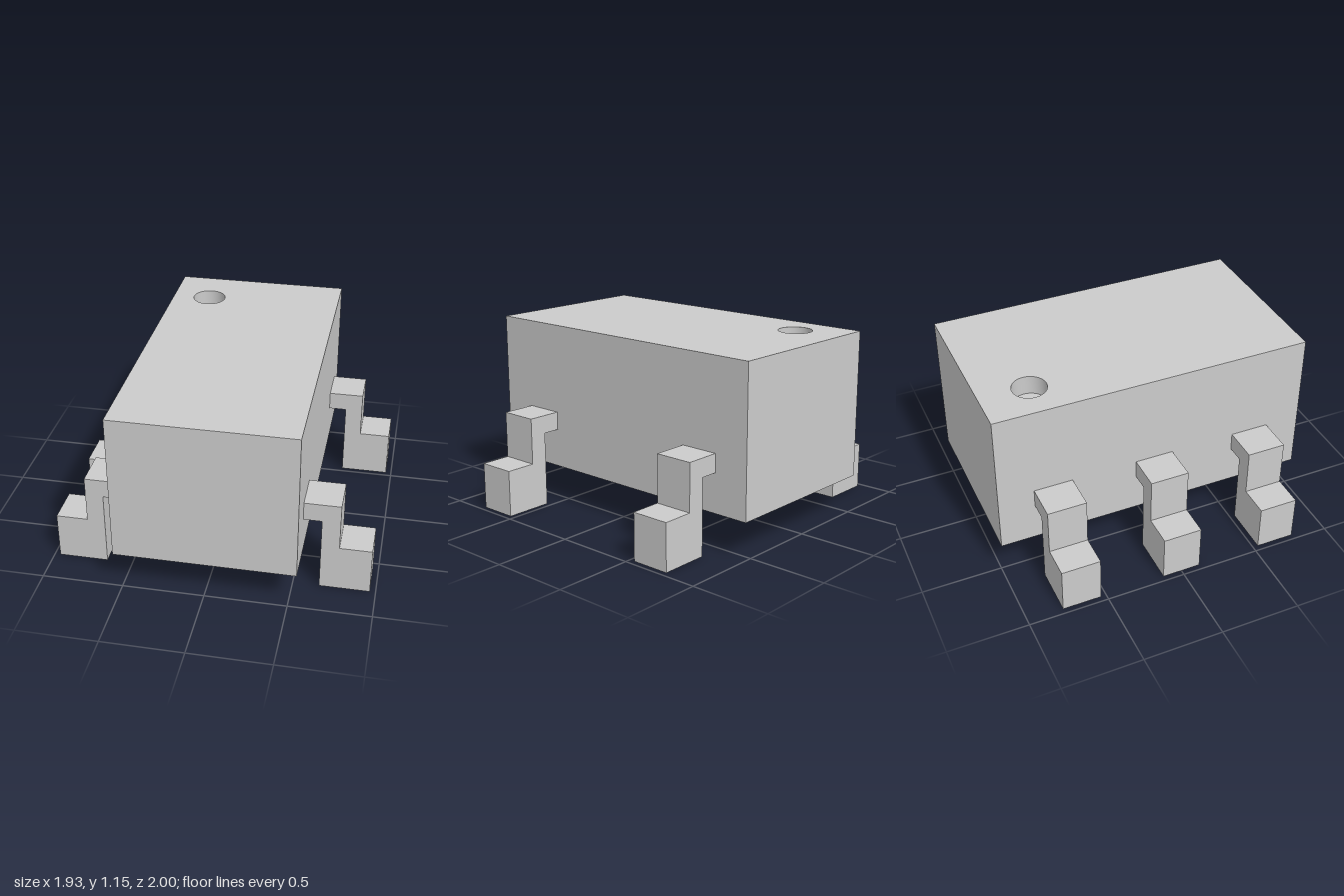
import * as THREE from 'three';
import { toCreasedNormals } from 'three/addons/utils/BufferGeometryUtils.js';

const material = new THREE.MeshStandardMaterial({ color: 0xcccccc });

const BODY = { width: 1.1, height: 0.925, length: 2, bottom: 0.23 };
const TOP = BODY.bottom + BODY.height;
const MARK = { x: -0.31, z: -0.69, radius: 0.105, depth: 0.12 };
const LEAD_WIDTH = 0.243;

function addMesh(parent, name, geometry) {
  const mesh = new THREE.Mesh(geometry, material);
  mesh.name = name;
  parent.add(mesh);
  return mesh;
}

function createBody() {
  const body = new THREE.Group();
  body.name = 'body';

  // Box without its top face
  const box = new THREE.BoxGeometry(BODY.width, BODY.height, BODY.length);
  const index = Array.from(box.index.array);
  index.splice(12, 6);
  box.setIndex(index);
  box.clearGroups();
  addMesh(body, 'bodySides', box).position.y = BODY.bottom + BODY.height / 2;

  // Top face with the round marker opening
  const w = BODY.width / 2, l = BODY.length / 2;
  const outline = new THREE.Shape([
    new THREE.Vector2(-w, -l), new THREE.Vector2(w, -l),
    new THREE.Vector2(w, l), new THREE.Vector2(-w, l),
  ]);
  outline.holes.push(new THREE.Path().absarc(MARK.x, -MARK.z, MARK.radius, 0, Math.PI * 2, true));
  const top = new THREE.ShapeGeometry(outline, 24).rotateX(-Math.PI / 2);
  addMesh(body, 'bodyTop', top).position.y = TOP;

  // Sunken marker: inward-facing wall, then floor
  const recess = new THREE.LatheGeometry([
    new THREE.Vector2(MARK.radius, 0),
    new THREE.Vector2(MARK.radius, -MARK.depth),
    new THREE.Vector2(0, -MARK.depth),
  ], 48);
  addMesh(body, 'markerRecess', toCreasedNormals(recess, Math.PI / 4)).position.set(MARK.x, TOP, MARK.z);
  return body;
}

// Stepped lead: shoulder, drop and foot
function createLeadGeometry() {
  const profile = [
    [0.55, 0.475], [0.66, 0.475], [0.66, 0], [0.965, 0],
    [0.965, 0.295], [0.77, 0.295], [0.77, 0.59], [0.55, 0.59],
  ].map(([x, y]) => new THREE.Vector2(x, y));
  const geometry = new THREE.ExtrudeGeometry(new THREE.Shape(profile), { depth: LEAD_WIDTH, bevelEnabled: false });
  return geometry.translate(0, 0, -LEAD_WIDTH / 2);
}

export function createModel() {
  const model = new THREE.Group();
  model.name = 'chipPackage';
  model.add(createBody());

  // Two leads on the left, three on the right
  const lead = createLeadGeometry();
  for (const z of [-0.655, 0.655]) addMesh(model, 'leftLead', lead).position.z = z;
  for (const z of [-0.655, 0, 0.655]) {
    const mesh = addMesh(model, 'rightLead', lead);
    mesh.rotation.y = Math.PI;
    mesh.position.z = z;
  }
  return model;
}
